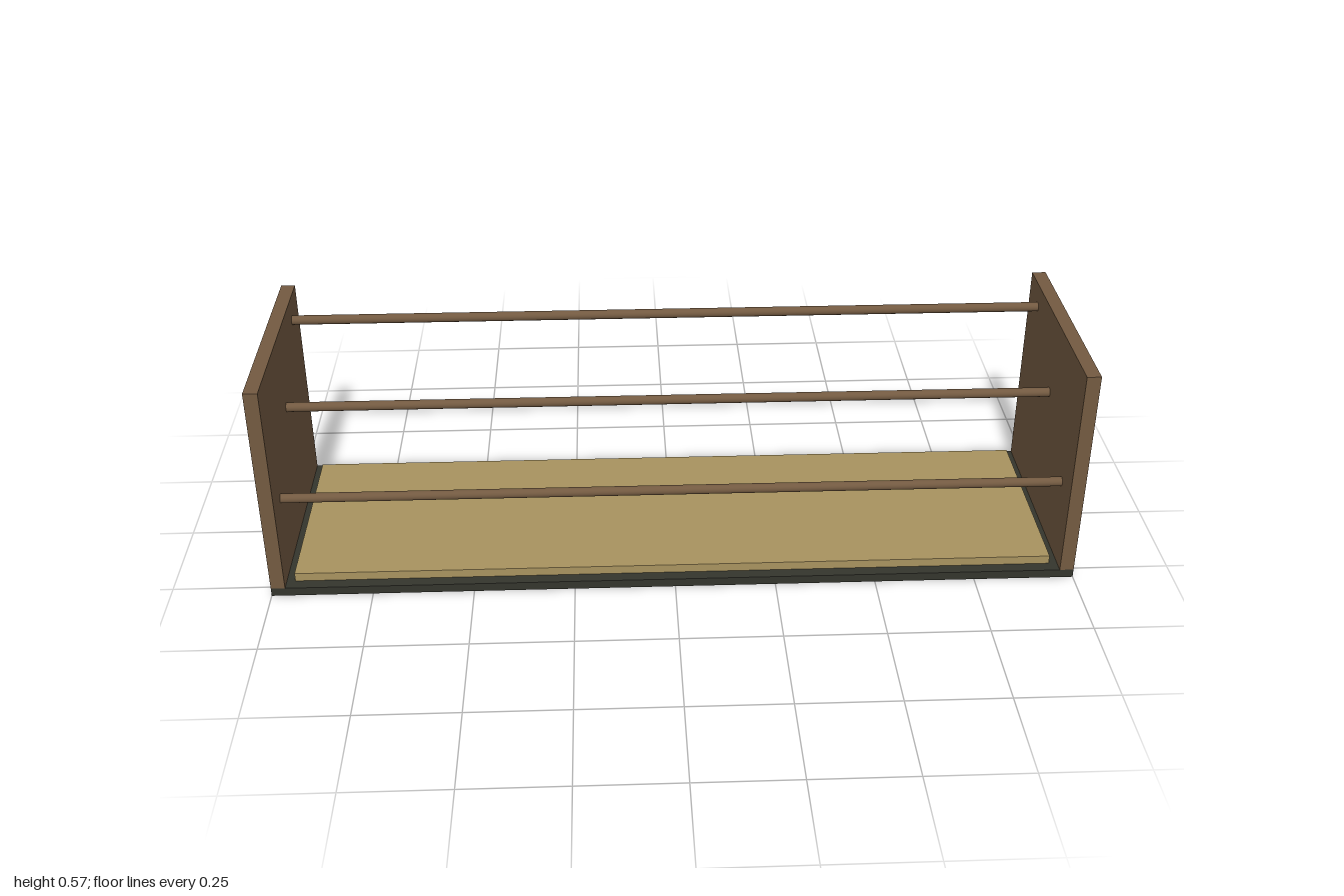
import * as THREE from 'three';

export function createModel() {
  const model = new THREE.Group();
  model.name = 'rack';

  const wood = new THREE.MeshStandardMaterial({ color: 0x735a41 });
  wood.name = 'brown wood';
  const dark = new THREE.MeshStandardMaterial({ color: 0x34352d });
  dark.name = 'dark base';
  const tan = new THREE.MeshStandardMaterial({ color: 0xa8935f });
  tan.name = 'tan board';

  const add = (name, geometry, material, x, y, z) => {
    const mesh = new THREE.Mesh(geometry, material);
    mesh.name = name;
    mesh.position.set(x, y, z);
    model.add(mesh);
    return mesh;
  };

  const depth = 0.574, height = 0.573, baseH = 0.022, panelW = 0.035, boardH = 0.022;

  // Base slab with the inset board on top
  add('base', new THREE.BoxGeometry(2, baseH, depth), dark, 0, baseH / 2, 0);
  add('board', new THREE.BoxGeometry(1.888, boardH, 0.514), tan, 0, baseH + boardH / 2, 0);

  // End panels
  const panelH = height - baseH;
  for (const [name, side] of [['leftPanel', 1], ['rightPanel', -1]]) {
    add(name, new THREE.BoxGeometry(panelW, panelH, depth), wood,
      side * (1 - panelW / 2), baseH + panelH / 2, 0);
  }

  // Rails between the panels, stepping up towards the back
  const rail = new THREE.CylinderGeometry(0.012, 0.012, 2 - 2 * panelW, 16).rotateZ(Math.PI / 2);
  ['frontRail', 'middleRail', 'backRail'].forEach((name, i) => {
    add(name, rail, wood, 0, 0.23 + i * 0.143, 0.2 - i * 0.2);
  });

  return model;
}
